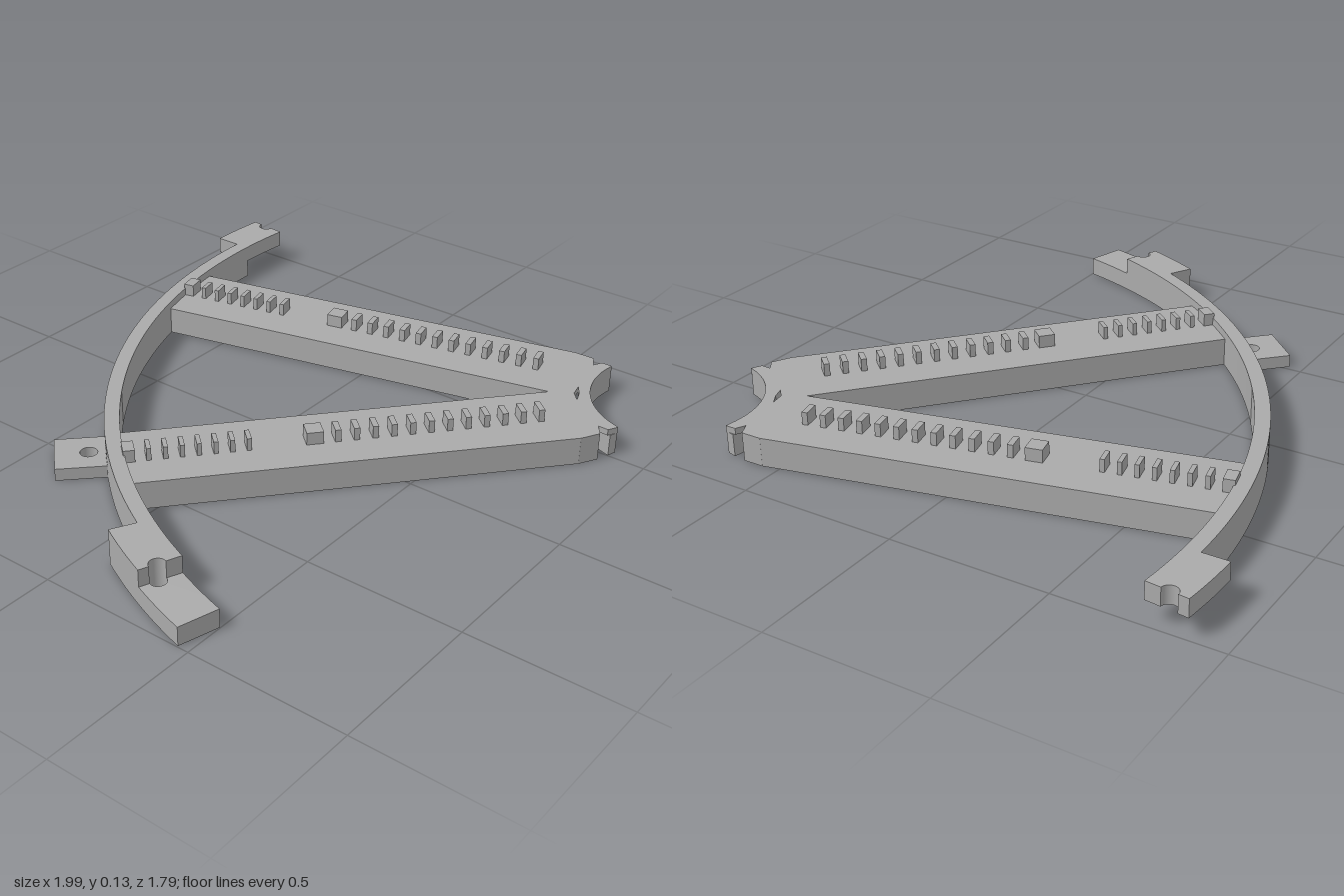
import * as THREE from 'three';

const grey = new THREE.MeshStandardMaterial({ color: 0xaaaaaa });
grey.name = 'grey';

const rad = THREE.MathUtils.degToRad;
const AXIS = 121;            // symmetry axis between the two arms, degrees
const TOP = 0.115, ARM_TOP = 0.09, LAP = 0.06;
const RING_IN = 1.735, RING_OUT = 1.782, TAB_OUT = 1.865, HOLE_R = 1.808;

function polar(r, deg) {
  return new THREE.Vector2(r * Math.cos(rad(deg)), r * Math.sin(rad(deg)));
}

// Flat outline raised from y0 to y1
function slab(name, shape, y0, y1) {
  const geo = new THREE.ExtrudeGeometry(shape, { depth: y1 - y0, bevelEnabled: false, curveSegments: 48 });
  geo.rotateX(-Math.PI / 2);
  geo.translate(0, y0, 0);
  const mesh = new THREE.Mesh(geo, grey);
  mesh.name = name;
  return mesh;
}

// Ring sector, optionally with a half round bolt notch at either end
function sector(r0, r1, a0, a1, notchStart = false, notchEnd = false) {
  const s = new THREE.Shape();
  const p = polar(r0, a0);
  s.moveTo(p.x, p.y);
  if (notchStart) {
    const c = polar(HOLE_R, a0);
    s.absarc(c.x, c.y, 0.025, rad(a0) + Math.PI, rad(a0), true);
  }
  s.absarc(0, 0, r1, rad(a0), rad(a1), false);
  if (notchEnd) {
    const c = polar(HOLE_R, a1);
    s.absarc(c.x, c.y, 0.025, rad(a1), rad(a1) - Math.PI, true);
  }
  s.absarc(0, 0, r0, rad(a1), rad(a0), true);
  return s;
}

// Box in arm space: from/to along the arm and across it
function bar(name, x0, x1, z0, z1, y0, y1) {
  const mesh = new THREE.Mesh(new THREE.BoxGeometry(x1 - x0, y1 - y0, Math.abs(z1 - z0)), grey);
  mesh.position.set((x0 + x1) / 2, (y0 + y1) / 2, (z0 + z1) / 2);
  mesh.name = name;
  return mesh;
}

// Hollow channel arm with a row of raised ribs; side = +1 or -1 about the axis
function makeArm(side) {
  const arm = new THREE.Group();
  arm.name = side > 0 ? 'rightArm' : 'leftArm';
  const start = 0.385, end = 1.74, inner = -0.126, outer = 0.16, wall = 0.02, roof = 0.07;
  const add = (name, x0, x1, p0, p1, y0, y1) => arm.add(bar(name, x0, x1, -side * p0, -side * p1, y0, y1));
  add('armTop', start, end, inner, outer, roof, ARM_TOP);
  add('armInnerWall', start, end, inner, inner + wall, 0, roof);
  add('armOuterWall', start, end, outer - wall, outer, 0, roof);
  add('armEndWall', start, start + wall, inner + wall, outer - wall, 0, roof);

  // raised blocks and ribs
  const mid = 0.019;
  const rib = (name, x, along, across) =>
    add(name, x - along / 2, x + along / 2, mid - across / 2, mid + across / 2, ARM_TOP, 0.13);
  rib('outerBlock', 1.722, 0.035, 0.055);
  rib('middleBlock', 1.17, 0.052, 0.056);
  for (let i = 0; i < 7; i++) rib('outerRib', 1.664 - i * 0.0495, 0.014, 0.052);
  for (let i = 0; i < 12; i++) rib('innerRib', 1.1 - i * 0.0573, 0.018, 0.053);
  arm.rotation.y = rad(AXIS + side * 18);
  return arm;
}

function makeHub() {
  const hub = new THREE.Group();
  hub.name = 'hub';
  // notched half outline as radius and angle from the axis
  const half = [[0.417, 40.6], [0.352, 42.5], [0.326, 36.3], [0.316, 42], [0.281, 43.3]];
  const arc = [];
  for (let a = 40; a >= -40; a -= 4) arc.push([0.28, a]);
  const mirrored = half.map(([r, a]) => [r, -a]).reverse();
  const points = (list) => list.map(([r, a]) => polar(r, AXIS + a));
  const plate = new THREE.Shape(points([[0.408, 0], ...half, ...arc, ...mirrored]));
  plate.holes.push(new THREE.Path(points([[0.324, 7], [0.33, 0], [0.318, -7.5], [0.314, 0]])));
  hub.add(slab('hubTop', plate, 0.07, ARM_TOP));
  hub.add(slab('hubCurvedWall', sector(0.28, 0.31, AXIS - 43, AXIS + 43), 0, 0.07));
  for (const s of [-1, 1]) {
    const cheek = [[0.417, 40.6], [0.352, 42.5], [0.326, 36.3], [0.345, 35], [0.405, 37]];
    hub.add(slab('hubCheek', new THREE.Shape(points(cheek.map(([r, a]) => [r, s * a]))), 0, 0.07));
  }
  return hub;
}

export function createModel() {
  const model = new THREE.Group();
  model.name = 'ringSegment';

  // curved rim with lap joints at both ends
  model.add(slab('rim', sector(RING_IN, RING_OUT, 90, 152), 0, TOP));
  model.add(slab('leftEndBlock', sector(RING_IN, TAB_OUT, 151.8, 158.2, false, true), 0, TOP));
  model.add(slab('lowerLapTab', sector(RING_IN, TAB_OUT, 158.2, 164.4, true, false), 0, LAP));
  model.add(slab('upperLapTab', sector(RING_IN, TAB_OUT, 84, 90.1, true, false), LAP, TOP));

  // mounting lug on the outside of the rim
  const lug = new THREE.Shape([[1.76, -0.085], [1.935, -0.085], [1.935, 0.085], [1.76, 0.085]]
    .map(([x, y]) => new THREE.Vector2(x, y)));
  lug.holes.push(new THREE.Path().absarc(1.832, 0, 0.027, 0, Math.PI * 2, true));
  const lugMesh = slab('mountingLug', lug, 0, 0.04);
  lugMesh.rotation.y = rad(135.4);
  model.add(lugMesh);

  model.add(makeArm(1), makeArm(-1), makeHub());

  // shift the ring centre so the part is centred on the origin
  for (const part of model.children) part.position.set(0.8, 0, 0.965);
  return model;
}
